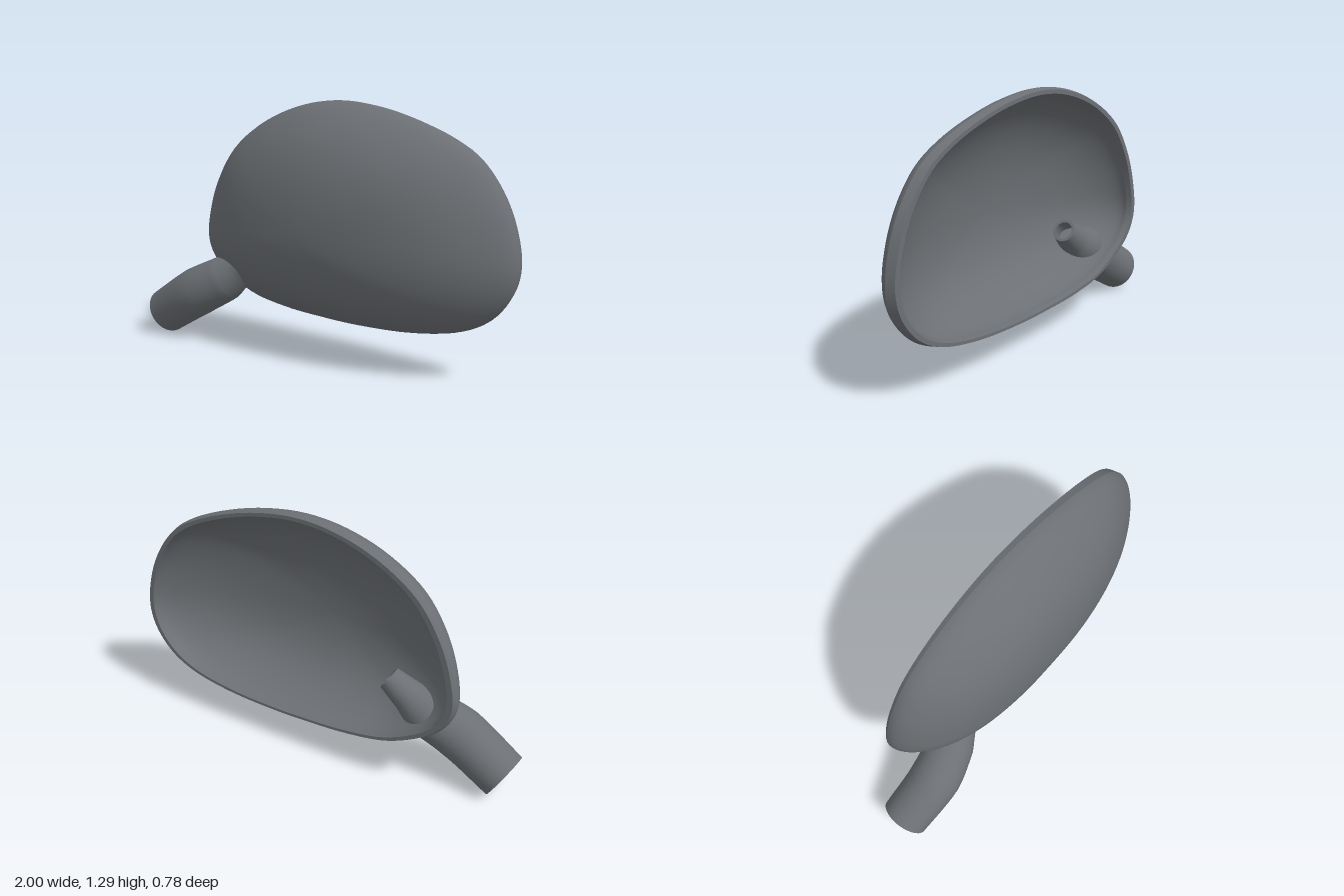
import * as THREE from 'three';

const V = (x, y, z) => new THREE.Vector3(x, y, z);

// Skin a list of closed rings with equal point counts
function loft(rings) {
  const n = rings[0].length, pos = [], idx = [];
  rings.forEach(r => r.forEach(p => pos.push(p.x, p.y, p.z)));
  for (let i = 0; i < rings.length - 1; i++) {
    for (let j = 0; j < n; j++) {
      const k = (j + 1) % n, a = i * n, b = a + n;
      idx.push(a + j, b + j, b + k, a + j, b + k, a + k);
    }
  }
  const g = new THREE.BufferGeometry();
  g.setAttribute('position', new THREE.Float32BufferAttribute(pos, 3));
  g.setIndex(idx);
  g.computeVertexNormals();
  return g;
}

export function createModel() {
  const group = new THREE.Group();
  const grey = new THREE.MeshStandardMaterial({ color: 0x6c7074, side: THREE.DoubleSide });
  grey.name = 'dark grey plastic';
  const add = (name, rings, parent) => {
    const m = new THREE.Mesh(loft(rings), grey);
    m.name = name;
    parent.add(m);
  };

  // Housing outline, counterclockwise from the outer tip
  const outline = new THREE.CatmullRomCurve3([
    [1.0, 0.57], [0.97, 0.75], [0.9, 0.91], [0.79, 1.05], [0.65, 1.14], [0.45, 1.22],
    [0.25, 1.272], [0.04, 1.295], [-0.17, 1.272], [-0.4, 1.19], [-0.6, 1.05], [-0.72, 0.87],
    [-0.78, 0.7], [-0.8, 0.55], [-0.77, 0.45], [-0.69, 0.36], [-0.48, 0.245], [-0.25, 0.198],
    [0.0, 0.18], [0.2, 0.175], [0.5, 0.19], [0.74, 0.24], [0.88, 0.32], [0.97, 0.44],
  ].map(p => V(p[0], p[1], 0)), true).getPoints(120).slice(0, -1);

  // The rim lies in a slanted plane; the dome bulges forward from it
  const cx = 0.1, cy = 0.65;
  const rimZ = x => -0.174 - 0.217 * x;
  const lip = x => 0.03 + 0.018 * x;
  const ring = (s, offset, dx = 0) => outline.map(p => {
    const x = cx + (p.x - cx) * s + dx;
    return V(x, cy + (p.y - cy) * s, rimZ(x) + offset(x));
  });
  // Elliptical profile, slightly flattened towards the edge
  const STEPS = 28;
  const dome = (size, depth, base) => Array.from({ length: STEPS + 1 }, (_, i) => {
    const a = (i / STEPS) * Math.PI / 2, r = Math.sin(a);
    const rise = Math.cos(a) * (1 - 0.25 * r ** 6);
    return ring(size * r, x => base(x) + (depth - base(x)) * rise);
  });

  const housing = new THREE.Group();
  housing.name = 'housing';
  group.add(housing);
  const back = () => 0, step = () => 0.03;
  const ridge = ring(1, lip), rimOuter = ring(0.985, back, -0.008);
  const rimInner = ring(0.955, back, -0.006), ledge = ring(0.945, step);
  add('outerShell', dome(1, 0.378, lip), housing);
  add('rimBevel', [ridge, rimOuter], housing);
  add('rimFace', [rimOuter, rimInner], housing);
  add('rimStep', [rimInner, ledge], housing);
  add('innerShell', dome(0.945, 0.35, step).reverse(), housing);

  // Hollow mounting stem: bends through the shell and narrows inside it
  const path = new THREE.CatmullRomCurve3([
    V(-0.935, 0.108, 0.267), V(-0.69, 0.255, 0.222), V(-0.535, 0.345, 0.15),
    V(-0.445, 0.41, 0.115), V(-0.345, 0.485, 0.08),
  ]);
  const radii = [0.124, 0.133, 0.122, 0.085, 0.062];
  const stemRing = (u, wall) => {
    const c = path.getPoint(u), t = path.getTangent(u);
    const b = t.clone().cross(V(0, 1, 0)).normalize(), n = t.clone().cross(b);
    const f = u * (radii.length - 1), i = Math.min(Math.floor(f), radii.length - 2);
    const r = THREE.MathUtils.lerp(radii[i], radii[i + 1], f - i) - wall;
    return Array.from({ length: 40 }, (_, j) => {
      const a = (j / 40) * Math.PI * 2;
      return c.clone().addScaledVector(b, r * Math.cos(a)).addScaledVector(n, r * Math.sin(a));
    });
  };
  const tube = wall => Array.from({ length: 33 }, (_, i) => stemRing(i / 32, wall));
  const stem = new THREE.Group();
  stem.name = 'mountingStem';
  group.add(stem);
  const WALL = 0.016;
  add('stemOuterWall', tube(0).reverse(), stem);
  add('stemOpeningEdge', [stemRing(0, 0), stemRing(0, WALL)], stem);
  add('stemInnerWall', tube(WALL), stem);
  add('stemInnerEndEdge', [stemRing(1, WALL), stemRing(1, 0)], stem);

  return group;
}
